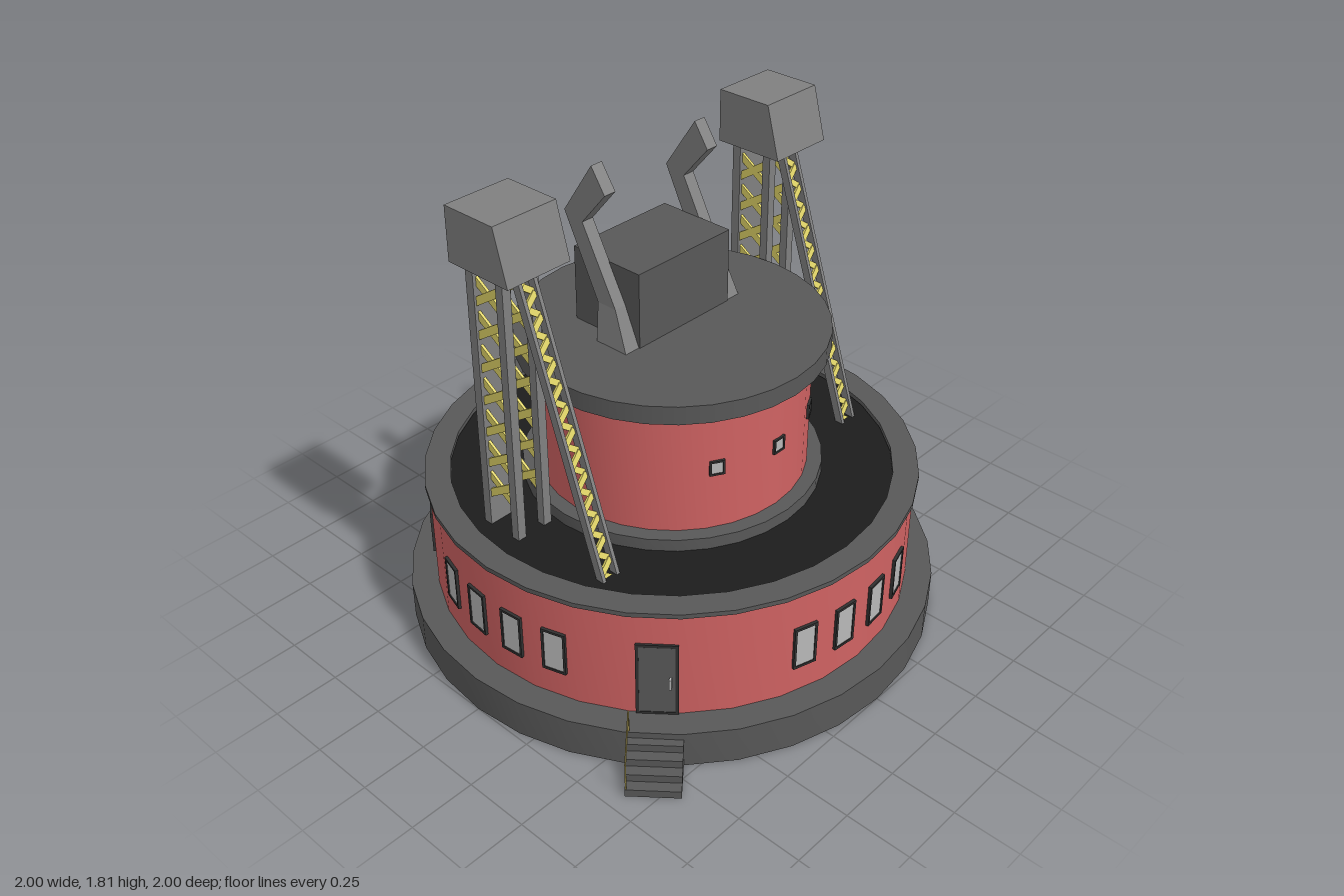
import * as THREE from 'three';
import { toCreasedNormals } from 'three/addons/utils/BufferGeometryUtils.js';

const SIDES = 32;
const STEP = (Math.PI * 2) / SIDES;
const mat = (color) => new THREE.MeshStandardMaterial({ color });
const stone = mat(0x585858), steel = mat(0x808080), dark = mat(0x303030), black = mat(0x1c1c1c);
const red = mat(0xcf6262), yellow = mat(0xe0d468), glass = mat(0xb8b8b8), railing = mat(0xa09048);

function add(parent, name, geometry, material, x = 0, y = 0, z = 0) {
  const mesh = new THREE.Mesh(geometry, material);
  mesh.name = name;
  mesh.position.set(x, y, z);
  parent.add(mesh);
  return mesh;
}

const box = (parent, name, material, w, h, d, x, y, z) =>
  add(parent, name, new THREE.BoxGeometry(w, h, d), material, x, y, z);

function group(parent, name, x = 0, y = 0, z = 0) {
  const g = new THREE.Group();
  g.name = name;
  g.position.set(x, y, z);
  parent.add(g);
  return g;
}

// Hollow ring with a rectangular section
function ring(parent, name, material, inner, outer, y0, y1) {
  const section = [[inner, y0], [outer, y0], [outer, y1], [inner, y1], [inner, y0]];
  const geo = new THREE.LatheGeometry(section.map(([r, y]) => new THREE.Vector2(r, y)), SIDES);
  return add(parent, name, toCreasedNormals(geo, 0.5), material);
}

// Side profile given as [z, y] points, extruded along x from x0
function sideExtrude(profile, x0, width) {
  const shape = new THREE.Shape(profile.map(([z, y]) => new THREE.Vector2(-z, y)));
  const geo = new THREE.ExtrudeGeometry(shape, { depth: width, bevelEnabled: false });
  return geo.rotateY(Math.PI / 2).translate(x0, 0, 0);
}

// Frame with a panel, facing outward on a round wall
function opening(parent, name, angle, radius, y, w, h, border, depth, panel) {
  const g = group(parent, name);
  g.rotation.y = angle;
  const rect = (Type, a, b) => new Type([[-a, -b], [a, -b], [a, b], [-a, b]].map((p) => new THREE.Vector2(...p)));
  const shape = rect(THREE.Shape, w / 2, h / 2);
  shape.holes.push(rect(THREE.Path, w / 2 - border, h / 2 - border));
  add(g, 'frame', new THREE.ExtrudeGeometry(shape, { depth, bevelEnabled: false }), dark, 0, y, radius - depth + 0.01);
  box(g, 'panel', panel, w - border, h - border, 0.012, 0, y, radius);
  return g;
}

// Diagonal bracing in the XY plane, rising from y = 0
function lattice(parent, name, width, height, cells, crossed, thick) {
  const g = group(parent, name);
  const cell = height / cells;
  const rise = crossed ? cell * 0.65 : cell;
  for (let i = 0; i < cells; i++) {
    const signs = crossed ? [1, -1] : [i % 2 ? 1 : -1];
    for (const s of signs) {
      const bar = box(g, 'diagonal', yellow, Math.hypot(width, rise), thick, 0.01, 0, (i + 0.5) * cell, s * 0.002);
      bar.rotation.z = s * Math.atan2(rise, width);
    }
  }
  return g;
}

function tower(parent, name, side) {
  const g = group(parent, name, side * 0.65, 0, 0);
  const y0 = 0.545, y1 = 1.6, h = y1 - y0, mid = (y0 + y1) / 2;

  // Upright column: solid back plate, two front posts, crossed sides
  box(g, 'backPlate', steel, 0.155, h, 0.035, 0, mid, -0.208);
  for (const s of [-1, 1]) {
    box(g, 'frontPost', steel, 0.035, h, 0.033, s * 0.06, mid, -0.066);
    const web = lattice(g, 'sideLattice', 0.125, 0.89, 7, true, 0.029);
    web.position.set(s * 0.062, 0.67, -0.137);
    web.rotation.y = Math.PI / 2;
  }

  // Sloping front brace
  const run = 0.357, length = Math.hypot(run, h);
  const brace = group(g, 'brace', 0, y0, 0.317);
  brace.rotation.x = -Math.atan2(run, h);
  for (const s of [-1, 1]) box(brace, 'rail', steel, 0.014, length, 0.032, s * 0.032, length / 2, 0);
  lattice(brace, 'braceLattice', 0.052, length, 28, false, 0.022);

  // Cab with a sloping front
  const outline = [[0.01, 1.59], [-0.045, 1.79], [-0.27, 1.79], [-0.27, 1.59]];
  add(g, 'cab', sideExtrude(outline, -0.1185, 0.267), steel, 0.014);
}

// Bent arm on a foot that flares outward
function arm(parent, side) {
  const g = group(parent, side > 0 ? 'leftArm' : 'rightArm', 0.005);
  const x0 = side > 0 ? 0.225 : -0.275;
  const upper = [[-0.012, 1.31], [-0.16, 1.59], [-0.05, 1.72], [-0.11, 1.81], [-0.245, 1.61], [-0.095, 1.31]];
  add(g, 'bentArm', sideExtrude(upper, x0, 0.05), steel);
  const foot = sideExtrude([[0.05, 1.165], [-0.012, 1.31], [-0.095, 1.31], [-0.09, 1.165]], x0, 0.05);
  const p = foot.attributes.position;
  for (let i = 0; i < p.count; i++) {
    if (Math.abs(p.getX(i)) > 0.26 && p.getY(i) < 1.2) p.setX(i, p.getX(i) + side * 0.016);
  }
  foot.computeVertexNormals();
  add(g, 'foot', foot, steel);
}

export function createModel() {
  const model = new THREE.Group();
  model.name = 'roundStation';

  // Lower storey: hollow plinth, wall, rim and deck
  ring(model, 'base', stone, 0.985, 1, 0, 0.145);
  ring(model, 'baseTop', stone, 0.885, 0.99, 0.13, 0.145);
  ring(model, 'lowerWall', red, 0.887, 0.9, 0.135, 0.585);
  ring(model, 'rim', stone, 0.82, 0.915, 0.577, 0.595);
  ring(model, 'deck', black, 0.49, 0.888, 0.555, 0.565);

  // Upper drum and roof
  const upper = group(model, 'upperWorks', 0.005);
  ring(upper, 'collar', stone, 0.49, 0.555, 0.56, 0.612);
  ring(upper, 'drum', red, 0.485, 0.5, 0.555, 1.1);
  add(upper, 'drumFloor', new THREE.CylinderGeometry(0.49, 0.49, 0.015, SIDES), stone, 0, 0.595, 0);
  ring(upper, 'roofTrim', dark, 0.48, 0.525, 1.075, 1.1);
  add(upper, 'roof', new THREE.CylinderGeometry(0.565, 0.565, 0.07, SIDES), stone, 0, 1.13, 0);
  box(upper, 'roofHouse', stone, 0.455, 0.285, 0.31, 0.005, 1.3075, -0.1);

  // Lower windows in groups of four, one per wall facet
  for (const first of [-15, -10, -2, 4, 9]) {
    for (let i = first; i < first + 4; i++) opening(model, 'window', (i + 0.5) * STEP, 0.897, 0.343, 0.092, 0.175, 0.009, 0.023, glass);
  }
  // Small drum windows at front and back
  for (const turn of [0, Math.PI]) {
    for (const i of [-1, 0, 1]) opening(upper, 'smallWindow', turn + i * 0.515, 0.497, 0.864, 0.055, 0.058, 0.007, 0.02, glass);
  }

  // Door and handle
  const entry = -4.45 * STEP;
  const door = opening(model, 'door', entry, 0.894, 0.298, 0.146, 0.31, 0.011, 0.03, stone);
  box(door, 'doorLeaf', stone, 0.125, 0.29, 0.028, 0, 0.295, 0.888);
  box(door, 'handle', glass, 0.008, 0.045, 0.06, 0.045, 0.29, 0.888);

  // Entrance steps with one handrail
  const stairs = group(model, 'stairs');
  stairs.rotation.y = entry;
  for (let i = 0; i < 4; i++) {
    const top = 0.12 - i * 0.03, z0 = 0.96, z1 = 1.025 + i * 0.039;
    box(stairs, 'step', stone, 0.19, 0.03, z1 - z0, 0, top - 0.015, (z0 + z1) / 2);
  }
  const rail = [[0.99, 0.235], [1.14, 0.14]].map(([z, y]) => new THREE.Vector3(-0.091, y, z));
  add(stairs, 'handrail', new THREE.TubeGeometry(new THREE.LineCurve3(rail[0], rail[1]), 1, 0.003, 6), railing);
  for (const p of rail) box(stairs, 'railPost', railing, 0.005, 0.12, 0.005, p.x, p.y - 0.06, p.z - 0.003);

  // Roof arms and side towers
  for (const side of [-1, 1]) {
    arm(upper, side);
    tower(upper, side > 0 ? 'leftTower' : 'rightTower', side);
  }
  return model;
}
